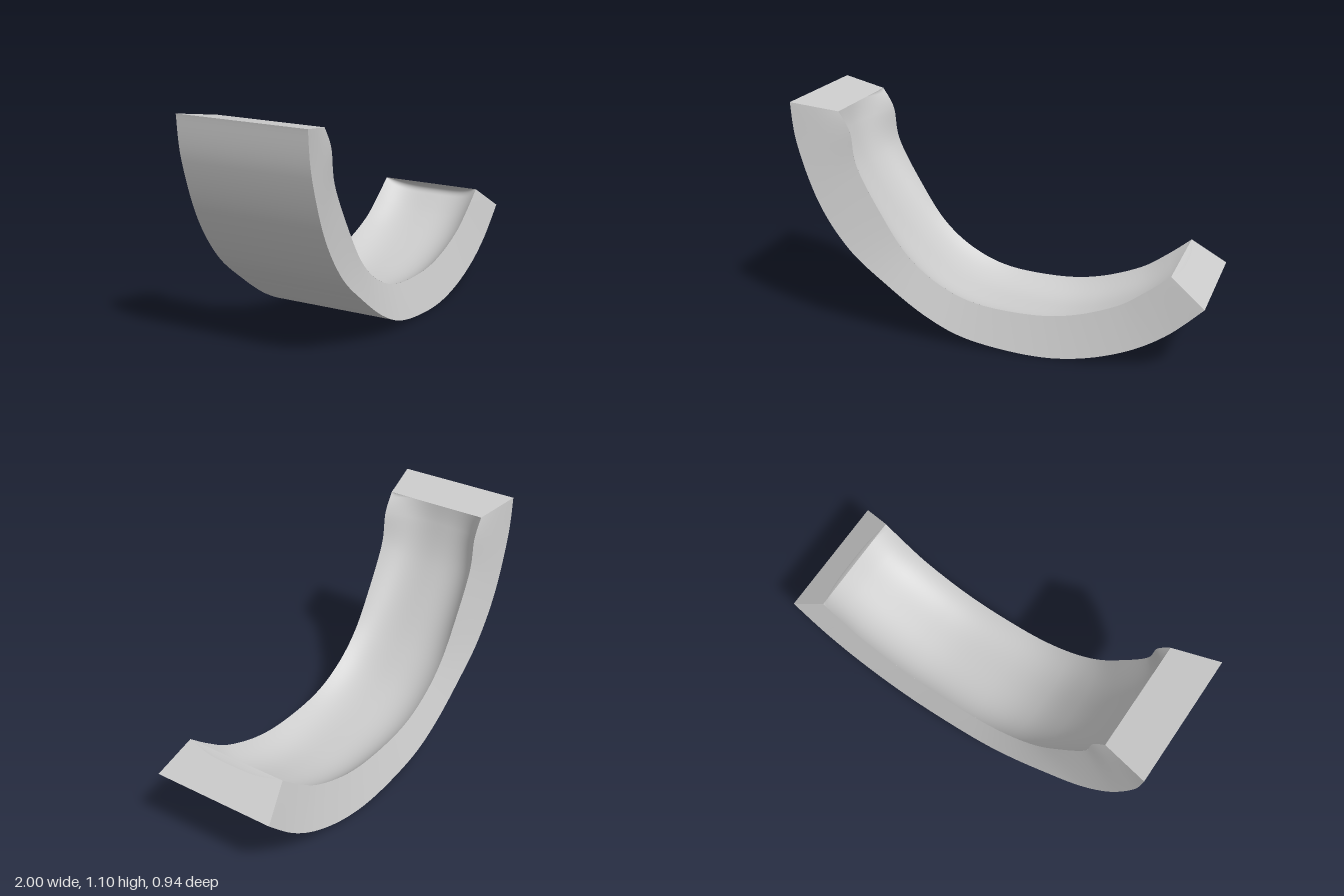
import * as THREE from 'three';
import { ParametricGeometry } from 'three/addons/geometries/ParametricGeometry.js';

const HALF_OUTER = 0.308; // half width along the outside curve
const HALF_RIM = 0.257; // half width along the inner rim

const curve = (pts) => new THREE.SplineCurve(pts.map(([x, y]) => new THREE.Vector2(x, y)));

// lengthwise profiles, with matching stations
const outer = curve([[-0.96, 1.095], [-0.935, 0.9], [-0.84, 0.63], [-0.7, 0.42], [-0.52, 0.265], [-0.32, 0.125],
  [-0.12, 0.04], [0.17, 0], [0.4, 0.015], [0.62, 0.08], [0.8, 0.18], [0.96, 0.32]]);
const rim = curve([[-0.745, 1.056], [-0.692, 0.96], [-0.665, 0.8], [-0.55, 0.58], [-0.43, 0.4], [-0.28, 0.275],
  [-0.095, 0.2], [0.16, 0.178], [0.36, 0.2], [0.56, 0.268], [0.69, 0.35], [0.8, 0.435]]);
const floor = curve([[-0.835, 1.05], [-0.815, 0.92], [-0.752, 0.74], [-0.62, 0.53], [-0.475, 0.355], [-0.31, 0.22],
  [-0.11, 0.14], [0.165, 0.108], [0.375, 0.128], [0.58, 0.195], [0.735, 0.285], [0.86, 0.4]]);

// point of the wall: u along the arc, k from outside (0) to rim (1), side from -1 to 1
function wall(u, k, side, target) {
  const p = outer.getPoint(u).lerp(rim.getPoint(u), k);
  target.set(p.x, p.y, side * THREE.MathUtils.lerp(HALF_OUTER, HALF_RIM, k));
}

// gathers samples near both ends of 0..1
const gather = (a) => a - (0.9 * Math.sin(2 * Math.PI * a)) / (2 * Math.PI);

// quarter-round rise from 0 to 1 within a margin of either end
function fillet(a, margin) {
  const x = THREE.MathUtils.clamp(Math.min(a, 1 - a) / margin, 0, 1);
  return Math.sqrt(Math.max(0, 1 - (1 - x) ** 2));
}

// dished inner face: softly curved across, with a lip over each end
function recess(u, v, target) {
  const a = gather(u), across = 1 - 2 * gather(v);
  const depth = fillet(a, 0.03) * (1 - Math.abs(across) ** 3.5);
  const p = rim.getPoint(a).lerp(floor.getPoint(a), depth);
  target.set(p.x, p.y, across * HALF_RIM);
}

export function createModel() {
  const group = new THREE.Group();
  group.name = 'curvedTray';
  const material = new THREE.MeshStandardMaterial({ color: 0xcccccc, side: THREE.DoubleSide });
  const add = (name, fn, slices, stacks) => {
    const mesh = new THREE.Mesh(new ParametricGeometry(fn, slices, stacks), material);
    mesh.name = name;
    group.add(mesh);
  };

  add('outerShell', (u, v, t) => wall(u, 0, 2 * v - 1, t), 96, 2);
  add('innerRecess', recess, 120, 64);
  add('frontSide', (u, v, t) => wall(u, v, 1, t), 96, 2);
  add('backSide', (u, v, t) => wall(u, 1 - v, -1, t), 96, 2);
  add('leftEnd', (u, v, t) => wall(1, u, 2 * v - 1, t), 2, 2);
  add('rightEnd', (u, v, t) => wall(0, v, 2 * u - 1, t), 2, 2);

  // the whole piece sits slightly turned
  group.rotation.y = THREE.MathUtils.degToRad(10);
  const model = new THREE.Group();
  model.name = 'model';
  model.add(group);
  return model;
}
